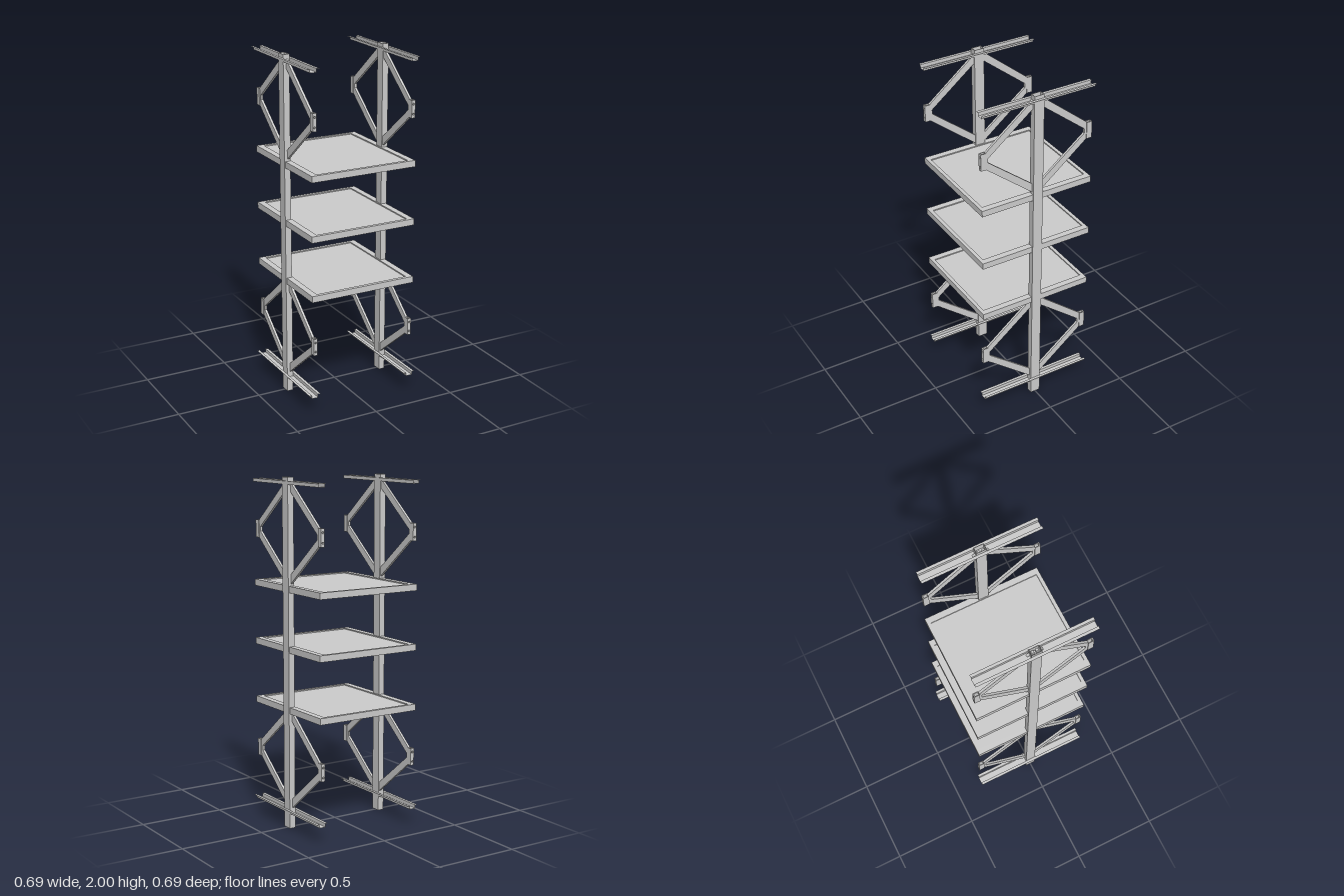
import * as THREE from 'three';

const mat = new THREE.MeshStandardMaterial({ color: 0xcccccc, flatShading: true });
const thinMat = new THREE.MeshStandardMaterial({ color: 0xcccccc, flatShading: true, side: THREE.DoubleSide });

const POST_X = 0.31, HALF_Z = 0.346;

function add(parent, name, geometry, x = 0, y = 0, z = 0, material = mat) {
  const mesh = new THREE.Mesh(geometry, material);
  mesh.name = name;
  mesh.position.set(x, y, z);
  parent.add(mesh);
  return mesh;
}

const box = (w, h, d) => new THREE.BoxGeometry(w, h, d);

function polygon(points) {
  return new THREE.Shape(points.map(([x, y]) => new THREE.Vector2(x, y)));
}

function rectPath(hx, hy) {
  return new THREE.Path([[-hx, -hy], [-hx, hy], [hx, hy], [hx, -hy]].map(([x, y]) => new THREE.Vector2(x, y)));
}

// Hollow rectangular upright, open at both ends
function postGeometry() {
  const shape = polygon([[-0.0185, -0.03], [0.0185, -0.03], [0.0185, 0.03], [-0.0185, 0.03]]);
  shape.holes.push(rectPath(0.0155, 0.027));
  return new THREE.ExtrudeGeometry(shape, { depth: 2, bevelEnabled: false }).rotateX(-Math.PI / 2);
}

// Thin folded rail: a shallow trough with a flange on each side
function railGeometry() {
  const profile = [[-0.036, 0.01], [-0.0195, 0.01], [-0.0195, -0.01], [0.0195, -0.01], [0.0195, 0.01], [0.036, 0.01]];
  const pos = [], index = [];
  profile.forEach(([x, y], i) => {
    pos.push(x, y, HALF_Z, x, y, -HALF_Z);
    if (i) {
      const a = 2 * (i - 1);
      index.push(a, a + 2, a + 3, a, a + 3, a + 1);
    }
  });
  const g = new THREE.BufferGeometry();
  g.setAttribute('position', new THREE.Float32BufferAttribute(pos, 3));
  g.setIndex(index);
  g.computeVertexNormals();
  return g;
}

// V-shaped pair of diagonal arms, drawn in z and y
function braceGeometry() {
  const half = [[0.315, 0.05], [0.02, 0.288], [0.005, 0.288], [0.005, 0.247], [0.3, 0.013]];
  const shape = polygon([...half, ...half.map(([z, y]) => [z, -y]).reverse()]);
  return new THREE.ExtrudeGeometry(shape, { depth: 0.014, bevelEnabled: false })
    .translate(0, 0, -0.007).rotateY(-Math.PI / 2);
}

// Small end plate with two bolt holes
function endPlateGeometry() {
  const shape = polygon([[-0.011, -0.05], [0.011, -0.05], [0.011, 0.05], [-0.011, 0.05]]);
  for (const y of [-0.028, 0.028]) {
    shape.holes.push(new THREE.Path().absarc(0, y, 0.006, 0, Math.PI * 2, true));
  }
  return new THREE.ExtrudeGeometry(shape, { depth: 0.006, bevelEnabled: false, curveSegments: 6 });
}

function makeBracket() {
  const bracket = new THREE.Group();
  bracket.name = 'braceBracket';
  add(bracket, 'diagonalArms', braceGeometry());
  add(bracket, 'endPlate', endPlateGeometry(), 0, 0, HALF_Z - 0.006);
  // Cheeks that join the plate to the arms
  for (const s of [-1, 1]) add(bracket, 'plateCheek', box(0.004, 0.1, 0.028), s * 0.009, 0, 0.327);
  return bracket;
}

function makeShelf() {
  const shelf = new THREE.Group();
  shelf.name = 'shelf';
  const h = 0.037, halfX = 0.323, side = 0.037, end = 0.021;
  for (const s of [-1, 1]) {
    add(shelf, 'sideBeam', box(side, h, 2 * HALF_Z), s * (halfX - side / 2));
    add(shelf, 'endBeam', box(2 * (halfX - side), h, end), 0, 0, s * (HALF_Z - end / 2));
  }
  add(shelf, 'shelfPanel', box(2 * (halfX - side), 0.012, 2 * (HALF_Z - end)), 0, 0.006, 0);
  return shelf;
}

export function createModel() {
  const model = new THREE.Group();
  model.name = 'shelfRack';

  // Two side frames: upright, rails and diamond braces
  for (const s of [-1, 1]) {
    const frame = new THREE.Group();
    frame.name = s > 0 ? 'leftFrame' : 'rightFrame';
    frame.position.x = s * POST_X;
    add(frame, 'post', postGeometry());
    for (const y of [0.1, 1.97]) add(frame, 'rail', railGeometry(), 0, y, 0, thinMat);
    for (const y of [0.402, 1.693]) {
      for (const turn of [0, Math.PI]) {
        const bracket = makeBracket();
        bracket.position.set(-s * 0.006, y, 0);
        bracket.rotation.y = turn;
        frame.add(bracket);
      }
    }
    model.add(frame);
  }

  // Three framed shelves
  for (const y of [0.692, 1.04, 1.382]) {
    const shelf = makeShelf();
    shelf.position.y = y;
    model.add(shelf);
  }
  return model;
}
